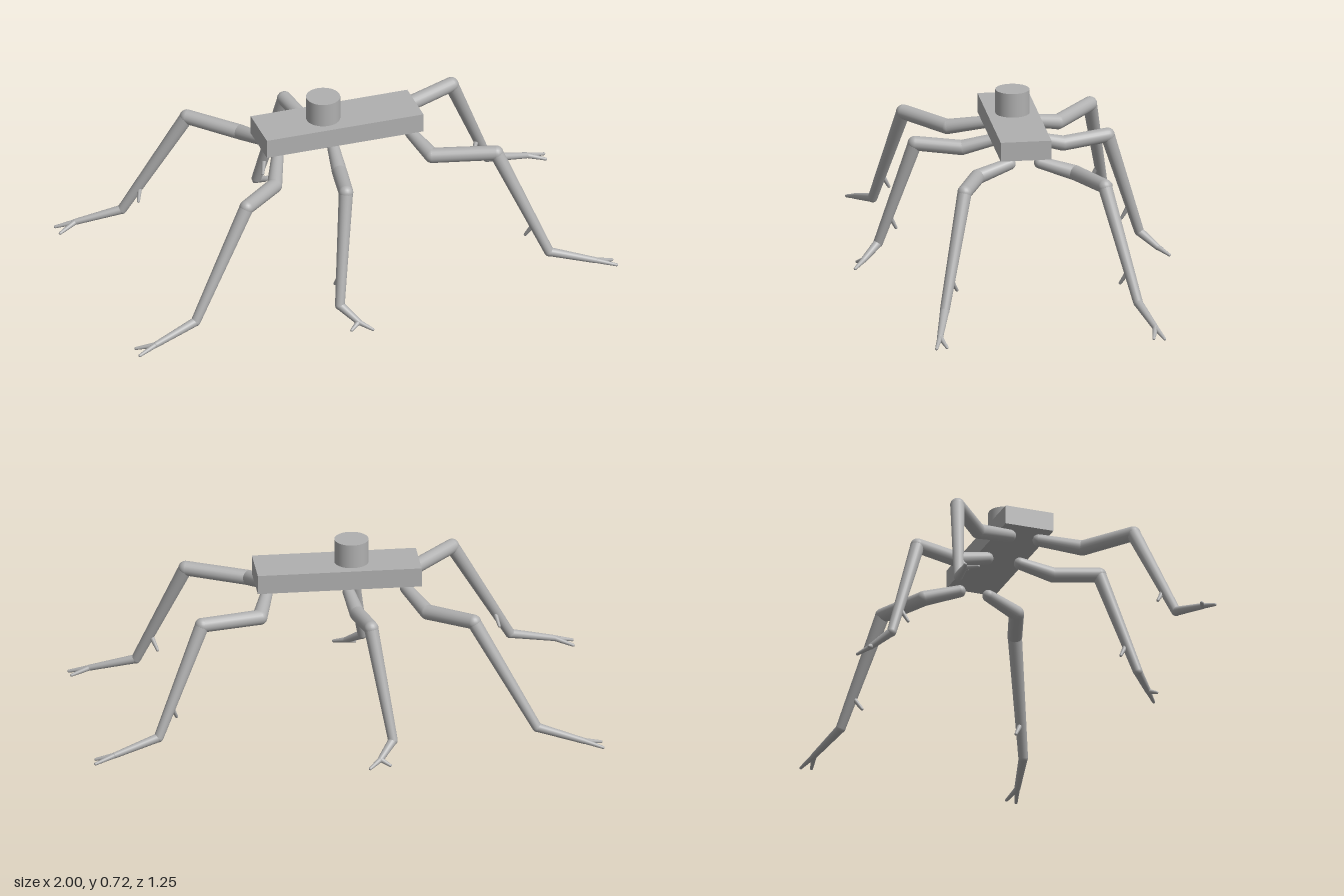
import * as THREE from 'three';

export function createModel() {
  const grey = new THREE.MeshStandardMaterial({ color: 0xb0b0b0 });
  grey.name = 'grey';
  const root = new THREE.Group();
  root.name = 'sixLeggedWalker';
  const up = new THREE.Vector3(0, 1, 0);

  function add(parent, name, geometry, position) {
    const mesh = new THREE.Mesh(geometry, grey);
    mesh.name = name;
    mesh.position.copy(position);
    parent.add(mesh);
    return mesh;
  }

  // Tapered limb segment with rounded ends
  function limb(parent, name, a, b, ra, rb) {
    const dir = b.clone().sub(a);
    const tube = add(parent, name, new THREE.CylinderGeometry(rb, ra, dir.length(), 20, 1, true),
      a.clone().add(b).multiplyScalar(0.5));
    tube.quaternion.setFromUnitVectors(up, dir.normalize());
    add(parent, name + 'StartJoint', new THREE.SphereGeometry(ra, 20, 12), a);
    add(parent, name + 'EndJoint', new THREE.SphereGeometry(rb, 20, 12), b);
  }

  // Body plate and turret
  add(root, 'body', new THREE.BoxGeometry(0.645, 0.077, 0.2), new THREE.Vector3(-0.0075, 0.583, 0));
  add(root, 'turret', new THREE.CylinderGeometry(0.067, 0.067, 0.1, 40), new THREE.Vector3(-0.065, 0.668, 0));

  // Joint positions of the three legs on the +z side
  const legs = {
    rightLeg: {
      hip: [-0.273, 0.522, 0.06], elbow: [-0.338, 0.487, 0.218], knee: [-0.503, 0.502, 0.368],
      ankle: [-0.742, 0.078, 0.455], fork: [-0.92, 0.03, 0.498],
      toes: [[-0.994, 0.008, 0.522], [-0.992, 0.009, 0.467]],
      spurRoot: [-0.675, 0.197, 0.431], spurTip: [-0.693, 0.137, 0.398],
    },
    middleLeg: {
      hip: [-0.046, 0.522, 0.068], elbow: [-0.064, 0.487, 0.2], knee: [-0.098, 0.502, 0.38],
      ankle: [-0.168, 0.078, 0.515], fork: [-0.112, 0.028, 0.58],
      toes: [[-0.067, 0.008, 0.62], [-0.148, 0.01, 0.602]],
      spurRoot: [-0.148, 0.2, 0.477], spurTip: [-0.165, 0.137, 0.445],
    },
    leftLeg: {
      hip: [0.277, 0.522, 0.06], elbow: [0.318, 0.487, 0.193], knee: [0.555, 0.502, 0.277],
      ankle: [0.738, 0.078, 0.382], fork: [0.915, 0.03, 0.425],
      toes: [[0.994, 0.008, 0.45], [0.988, 0.009, 0.408]],
      spurRoot: [0.687, 0.197, 0.353], spurTip: [0.66, 0.137, 0.322],
    },
  };

  for (const side of [1, -1]) {
    for (const [name, j] of Object.entries(legs)) {
      const leg = new THREE.Group();
      leg.name = (side > 0 ? 'front_' : 'back_') + name;
      const p = ([x, y, z]) => new THREE.Vector3(x, y, z * side);
      limb(leg, 'coxa', p(j.hip), p(j.elbow), 0.024, 0.03);
      limb(leg, 'thigh', p(j.elbow), p(j.knee), 0.03, 0.029);
      limb(leg, 'shin', p(j.knee), p(j.ankle), 0.028, 0.019);
      limb(leg, 'foot', p(j.ankle), p(j.fork), 0.018, 0.012);
      for (const toe of j.toes) limb(leg, 'toe', p(j.fork), p(toe), 0.011, 0.006);
      limb(leg, 'spur', p(j.spurRoot), p(j.spurTip), 0.011, 0.006);
      root.add(leg);
    }
  }
  return root;
}
